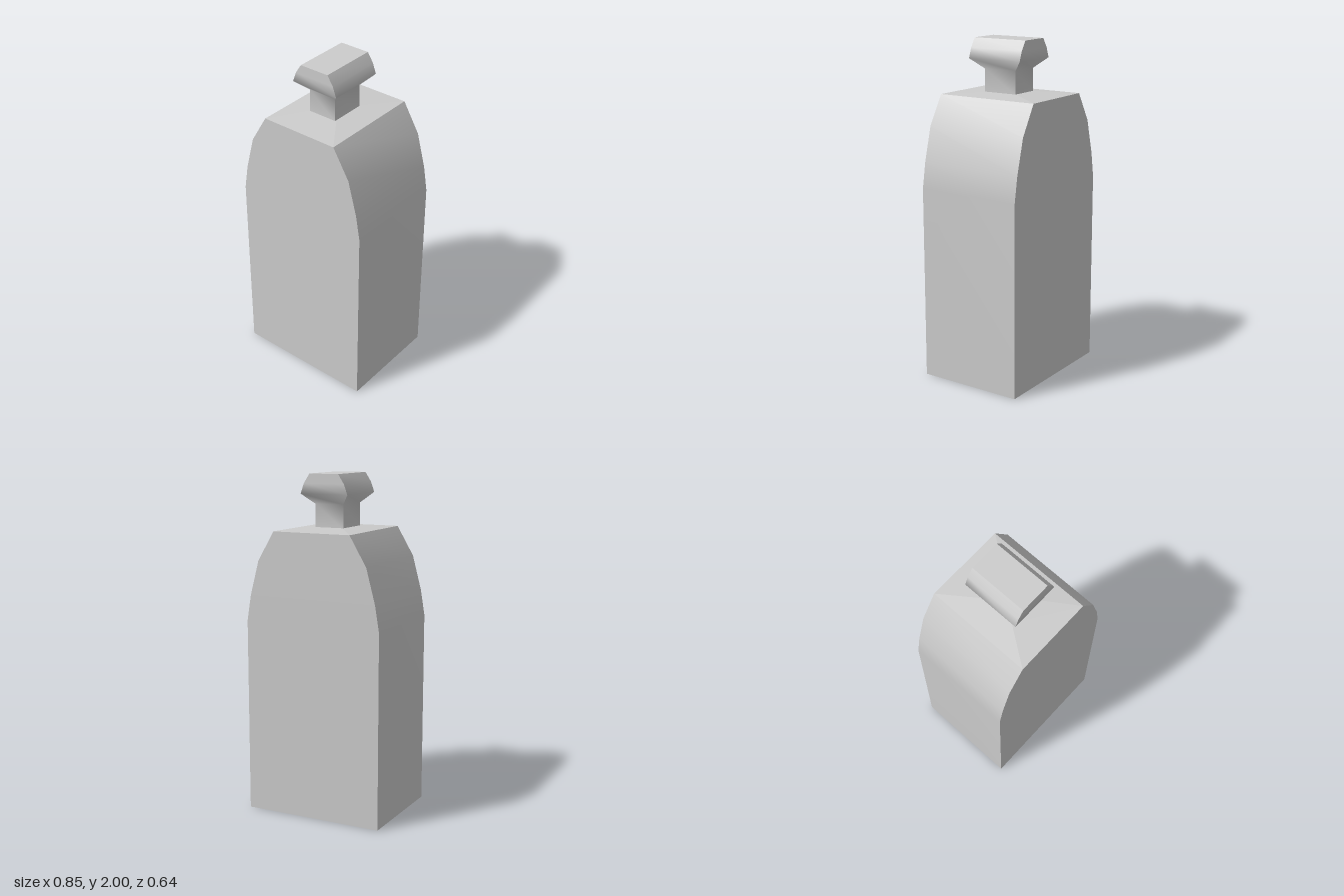
import * as THREE from 'three';
import { mergeGeometries } from 'three/addons/utils/BufferGeometryUtils.js';

const CORNERS = [[1, 1], [1, -1], [-1, -1], [-1, 1]];

// Loft of rectangles [halfX, y, halfZ]: smooth going up each side, sharp at the four corners
function loft(sections) {
  const sides = CORNERS.map((a, i) => {
    const b = CORNERS[(i + 1) % 4];
    const positions = [], index = [];
    sections.forEach(([hx, y, hz], row) => {
      positions.push(a[0] * hx, y, a[1] * hz, b[0] * hx, y, b[1] * hz);
      if (row > 0) {
        const k = (row - 1) * 2;
        index.push(k, k + 1, k + 2, k + 1, k + 3, k + 2);
      }
    });
    const geometry = new THREE.BufferGeometry();
    geometry.setAttribute('position', new THREE.Float32BufferAttribute(positions, 3));
    geometry.setIndex(index);
    geometry.computeVertexNormals();
    return geometry;
  });
  return mergeGeometries(sides);
}

// Flat rectangle closing a loft, facing up (1) or down (-1)
function cap([hx, y, hz], facing) {
  return new THREE.PlaneGeometry(hx * 2, hz * 2).rotateX(-facing * Math.PI / 2).translate(0, y, 0);
}

export function createModel() {
  const group = new THREE.Group();
  const material = new THREE.MeshStandardMaterial({ color: 0xcccccc });
  const add = (name, geometry, z = 0) => {
    const mesh = new THREE.Mesh(geometry, material);
    mesh.name = name;
    mesh.position.z = z;
    group.add(mesh);
  };

  // Tall body, straight below and curving in to the shoulders
  const body = [
    [0.425, 0, 0.32], [0.425, 1.15, 0.32], [0.4, 1.3, 0.32],
    [0.345, 1.505, 0.32], [0.242, 1.678, 0.32],
  ];
  add('body', loft(body));
  add('base', cap(body[0], -1));

  // Shallow sloping top around the neck
  const topInner = [0.09, 1.691, 0.105];
  add('shoulderTop', loft([body[4], topInner]));
  add('neckSeat', cap(topInner, 1));

  // Neck flaring into the bevelled knob, set slightly forward
  const knob = [
    [0.09, 1.685, 0.107], [0.09, 1.825, 0.107], [0.15, 1.885, 0.175],
    [0.128, 1.945, 0.175], [0.092, 2, 0.175],
  ];
  add('neckAndKnob', loft(knob), 0.009);
  add('knobTop', cap(knob[4], 1), 0.009);

  return group;
}
